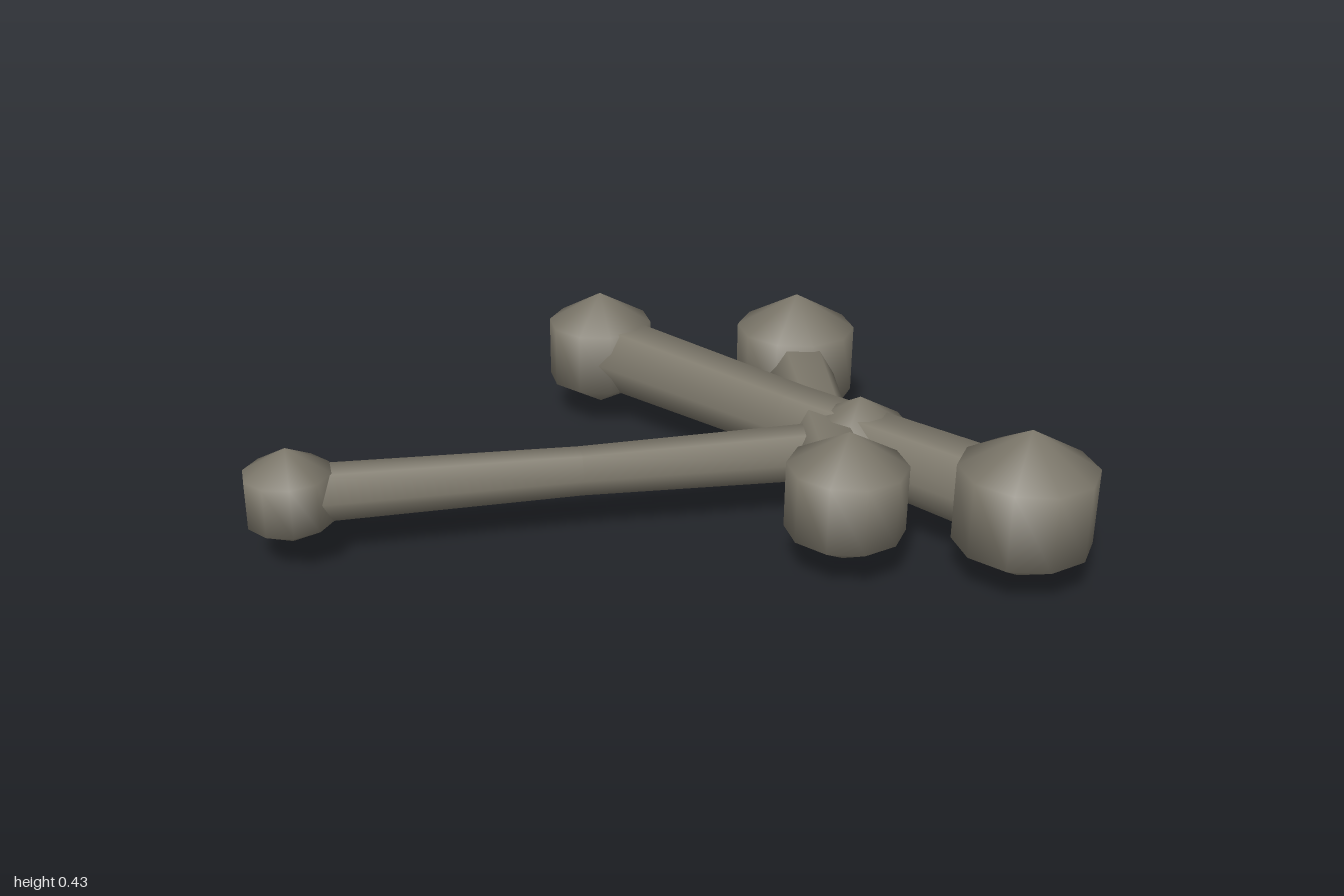
import * as THREE from 'three';

// Three crossed dumbbell-shaped bones: knob position and radius at each end,
// shaft radii at start, middle and end.
const BONES = [
  { a: [-0.877, 0.198, -0.36], ra: 0.14, b: [0.602, 0.198, 0.2], rb: 0.158, shaft: [0.081, 0.068, 0.083] },
  { a: [0.325, 0.222, -0.765], ra: 0.183, b: [0.74, 0.22, 0.735], rb: 0.215, shaft: [0.114, 0.1, 0.116] },
  { a: [0.815, 0.215, -0.4], ra: 0.207, b: [0.37, 0.217, 0.45], rb: 0.188, shaft: [0.104, 0.092, 0.104] },
];

// Six-sided shaft along z with a narrower middle ring
function shaftGeometry(length, [start, middle, end]) {
  const geo = new THREE.CylinderGeometry(end, start, length, 6, 2, false, Math.PI / 2);
  const pos = geo.attributes.position;
  for (let i = 0; i < pos.count; i++) {
    if (Math.abs(pos.getY(i)) > 0.01) continue;
    const k = middle / Math.hypot(pos.getX(i), pos.getZ(i));
    pos.setX(i, pos.getX(i) * k);
    pos.setZ(i, pos.getZ(i) * k);
  }
  return geo.rotateX(Math.PI / 2);
}

export function createModel() {
  const model = new THREE.Group();
  model.name = 'crossedBones';
  const boneMaterial = new THREE.MeshStandardMaterial({ color: 0x7f7a6d });
  boneMaterial.name = 'weatheredBone';

  for (const { a, ra, b, rb, shaft } of BONES) {
    const bone = new THREE.Group();
    bone.name = 'bone';
    const from = new THREE.Vector3(...a);
    const to = new THREE.Vector3(...b);

    // Shaft, running between the knob centres
    const rod = new THREE.Mesh(shaftGeometry(from.distanceTo(to), shaft), boneMaterial);
    rod.name = 'shaft';
    rod.position.copy(from).lerp(to, 0.5);
    rod.lookAt(to);
    bone.add(rod);

    // Rounded low-poly knobs
    for (const [centre, radius] of [[from, ra], [to, rb]]) {
      const knob = new THREE.Mesh(new THREE.SphereGeometry(radius, 10, 3), boneMaterial);
      knob.name = 'knob';
      knob.position.copy(centre);
      bone.add(knob);
    }
    model.add(bone);
  }
  return model;
}
